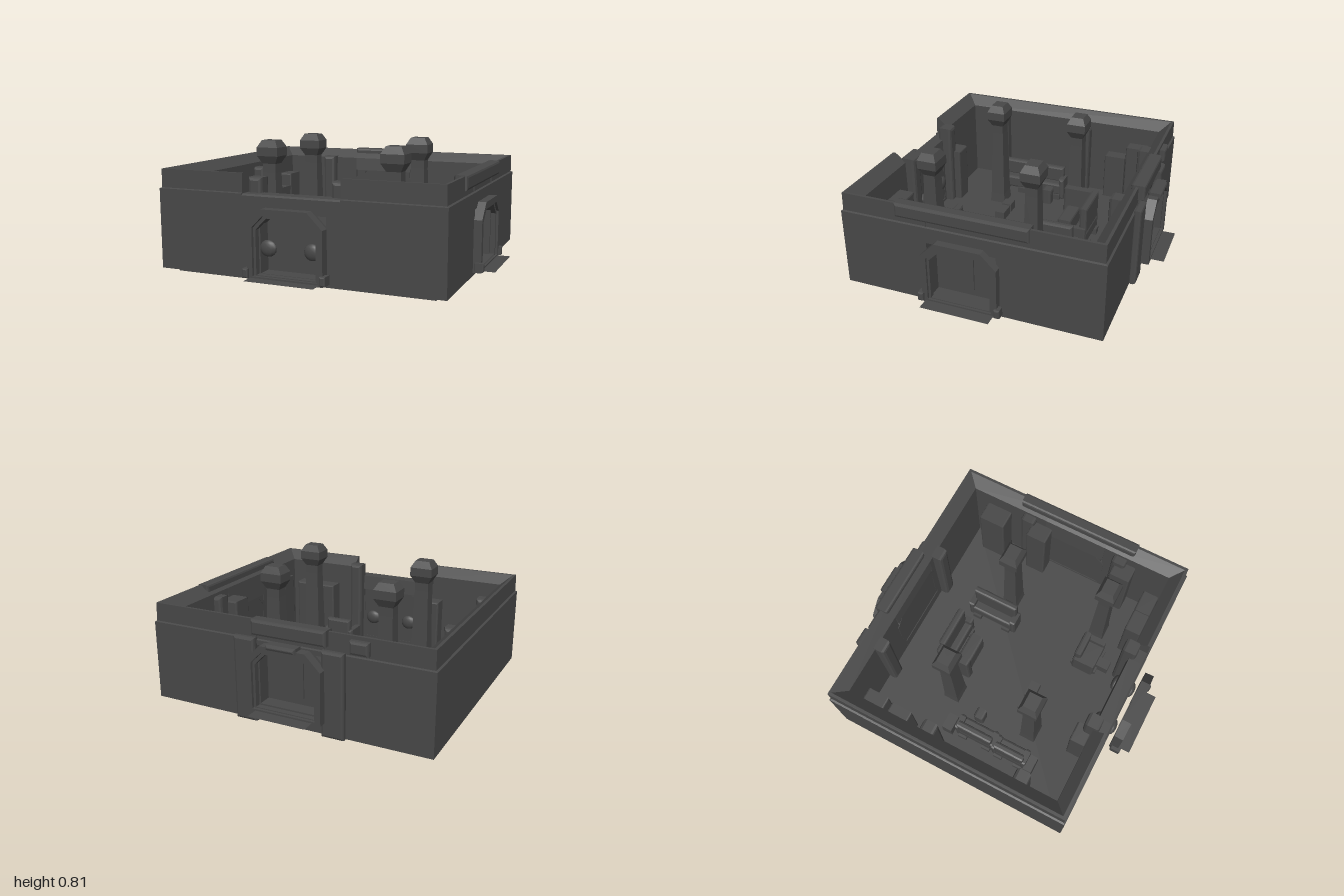
import * as THREE from 'three';

const stone = new THREE.MeshStandardMaterial({ color: 0x484848, side: THREE.DoubleSide });
stone.name = 'charcoal';

function add(parent, geo, name, x = 0, y = 0, z = 0) {
  const m = new THREE.Mesh(geo, stone);
  m.name = name;
  m.position.set(x, y, z);
  parent.add(m);
  return m;
}

// box given by its limits
function block(parent, name, x0, x1, y0, y1, z0, z1) {
  return add(parent, new THREE.BoxGeometry(x1 - x0, y1 - y0, z1 - z0), name, (x0 + x1) / 2, (y0 + y1) / 2, (z0 + z1) / 2);
}

// box with rounded edges, upholstery look
function soft(parent, name, x0, x1, y0, y1, z0, z1, c = 0.015) {
  const w = (x1 - x0) / 2 - c, h = (y1 - y0) / 2 - c, d = z1 - z0 - 2 * c;
  const s = new THREE.Shape([[-w, -h], [w, -h], [w, h], [-w, h]].map(p => new THREE.Vector2(...p)));
  const g = new THREE.ExtrudeGeometry(s, { depth: d, bevelEnabled: true, bevelSize: c, bevelThickness: c, bevelSegments: 2 });
  g.translate(0, 0, -d / 2);
  return add(parent, g, name, (x0 + x1) / 2, (y0 + y1) / 2, (z0 + z1) / 2);
}

// stacked square sections: rows of [half width, height]
function squareLoft(rows) {
  const g = new THREE.LatheGeometry(rows.map(([r, y]) => new THREE.Vector2(r * Math.SQRT2, y)), 4, Math.PI / 4).toNonIndexed();
  g.computeVertexNormals();
  return g;
}

// one straight run of wall; profile is [inset, height], ends may be mitred
function wallGeo(D, t0, t1, m0, m1, profile) {
  const pos = [], n = profile.length;
  const P = (i, end) => {
    const [d, y] = profile[i % n];
    return end ? [t1 - m1 * d, y, D - d] : [t0 + m0 * d, y, D - d];
  };
  for (let i = 0; i < n; i++) {
    pos.push(...P(i, 0), ...P(i, 1), ...P(i + 1, 1), ...P(i, 0), ...P(i + 1, 1), ...P(i + 1, 0));
    if (i > 0 && i < n - 1) {
      pos.push(...P(0, 0), ...P(i, 0), ...P(i + 1, 0), ...P(0, 1), ...P(i + 1, 1), ...P(i, 1));
    }
  }
  const g = new THREE.BufferGeometry();
  g.setAttribute('position', new THREE.Float32BufferAttribute(pos, 3));
  g.computeVertexNormals();
  return g;
}

const profile = (bottom, notched) => notched
  ? [[0, bottom], [0, 0.52], [0.012, 0.53], [0.1, 0.53], [0.11, bottom]]
  : [[0, bottom], [0, 0.53], [0.012, 0.535], [0.012, 0.65], [0.03, 0.65], [0.1, 0.59], [0.11, bottom]];

// chamfered arch outline
function archPoints(w, y0, y1, c) {
  return [[-w, y0], [w, y0], [w, y1 - c], [w - c, y1], [-w + c, y1], [-w, y1 - c]].map(p => new THREE.Vector2(...p));
}

function archFrame(w, h, y0, y1, t, depth) {
  const s = new THREE.Shape(archPoints(w, y0, y1, 0.095));
  s.holes.push(new THREE.Path(archPoints(h, y0 + 0.02, y1 - t, 0.07)));
  return new THREE.ExtrudeGeometry(s, { depth, bevelEnabled: false });
}

// doorway: lining, back panel, proud frame, feet and sill
function doorway(parent, D, cx, { lift = 0, gap = 0, depth, reach, sillHalf, strip = false, feet = true }) {
  const door = new THREE.Group();
  door.name = 'doorway';
  door.position.set(cx, lift, D);
  parent.add(door);
  add(door, archFrame(0.235, 0.205, 0.04, 0.455, 0.03, 0.104), 'doorLining', 0, 0, -0.107);
  block(door, 'doorPanel', -0.21, 0.21, 0.04, 0.44, -0.105, -0.09);
  if (strip) block(door, 'doorStrip', -0.045, 0.04, 0.11, 0.36, -0.09, -0.08);
  add(door, archFrame(0.24, 0.205, 0.05, 0.465, 0.04, depth), 'doorFrame', 0, 0, gap);
  add(door, archFrame(0.22, 0.19, 0.055, 0.44, 0.03, depth * 0.6), 'innerFrame', 0, 0, gap + 0.005);
  if (feet) {
    for (const s of [-1, 1]) {
      soft(door, 'frameFoot', s * 0.245 - 0.018, s * 0.245 + 0.018, 0.06, 0.115, gap + 0.01, gap + depth + 0.02, 0.008);
    }
  }
  const sill = new THREE.PlaneGeometry(sillHalf * 2, reach - gap).rotateX(-Math.PI / 2);
  add(door, sill, 'sill', 0, 0.06, (gap + reach) / 2);
}

export function createModel() {
  const model = new THREE.Group();
  model.name = 'room';

  // floor and foundation
  block(model, 'foundation', -0.91, 0.77, 0, 0.032, -0.75, 0.75);
  block(model, 'floor', -0.96, 0.83, 0.03, 0.05, -0.8, 0.8);

  // walls: local x runs along the wall, local z points outward
  const X = 0.915, Z = 0.825;
  const walls = {};
  const specs = [['frontWall', 0, X, Z, -0.01, 0], ['rightSideWall', Math.PI / 2, Z, X, -0.04, 0],
    ['backWall', Math.PI, X, Z, 0.04, 0.07], ['leftSideWall', -Math.PI / 2, Z, X, null, 0]];
  for (const [name, turn, L, D, door, lift] of specs) {
    const w = walls[name] = new THREE.Group();
    w.name = name;
    w.rotation.y = turn;
    w.position.x = -0.065;
    model.add(w);
    if (door === null) {
      add(w, wallGeo(D, -L, L, 1, 1, profile(0.03)), 'wall');
      continue;
    }
    const notch = name === 'frontWall';
    const a = door - 0.22, b = door + 0.22, na = notch ? -0.335 : a, nb = notch ? 0.295 : b;
    add(w, wallGeo(D, -L, na, 1, 0, profile(0.03)), 'wall');
    add(w, wallGeo(D, nb, L, 0, 1, profile(0.03)), 'wall');
    if (notch) {
      add(w, wallGeo(D, na, a, 0, 0, profile(0.03, true)), 'lowWall');
      add(w, wallGeo(D, b, nb, 0, 0, profile(0.03, true)), 'lowWall');
    }
    add(w, wallGeo(D, a, b, 0, 0, profile(0.43 + lift, notch)), 'wallOverDoor');
    block(w, 'wallUnderDoor', a, b, 0.03, 0.065 + lift, D - 0.11, D);
  }
  doorway(walls.frontWall, Z, -0.01, { gap: 0.035, depth: 0.06, reach: 0.175, sillHalf: 0.22 });
  doorway(walls.rightSideWall, X, -0.04, { depth: 0.05, reach: 0.13, sillHalf: 0.22, strip: true });
  doorway(walls.backWall, Z, 0.04, { lift: 0.07, gap: 0.03, depth: 0.06, reach: 0.175, sillHalf: 0.185, strip: true, feet: false });

  // lintels along the wall tops
  soft(walls.rightSideWall, 'lintel', -0.46, 0.38, 0.565, 0.655, X - 0.08, X + 0.003);
  soft(walls.backWall, 'lintel', -0.2, 0.28, 0.565, 0.66, Z - 0.06, Z + 0.03);
  soft(walls.backWall, 'lintelEnd', 0.42, 0.535, 0.55, 0.63, Z - 0.04, Z + 0.025);
  soft(walls.backWall, 'doorCap', -0.06, 0.13, 0.52, 0.555, Z + 0.02, Z + 0.105);

  // flanking panels beside the back door
  for (const s of [-1, 1]) {
    const c = 0.04 + s * 0.285;
    soft(walls.backWall, 'doorSidePanel', c - 0.07, c + 0.07, 0.03, 0.55, Z - 0.01, Z + 0.04);
  }
  // round knobs on both faces of the front door
  for (const x of [-0.225, 0.06]) {
    for (const z of [0.71, 0.825]) {
      add(model, new THREE.SphereGeometry(0.05, 12, 8).scale(1.1, 1, 0.5), 'doorKnob', x, 0.22, z);
    }
  }

  // free-standing pillars with faceted heads
  for (const [x, z] of [[-0.46, -0.25], [0.345, -0.22], [0.413, 0.43], [-0.465, 0.34]]) {
    const p = new THREE.Group();
    p.name = 'pillar';
    p.position.set(x, 0, z);
    p.scale.z = 0.86;
    model.add(p);
    add(p, squareLoft([[0.065, 0.04], [0.058, 0.12], [0.046, 0.6], [0.046, 0.66]]), 'pillarShaft');
    add(p, squareLoft([[0, 0.65], [0.046, 0.655], [0.074, 0.705], [0.074, 0.76], [0.048, 0.805], [0, 0.805]]), 'pillarHead');
  }

  // pilasters against the walls: [x, z, height]
  for (const [x, z, h] of [[-0.85, -0.18, 0.56], [-0.85, 0.47, 0.56], [-0.53, -0.71, 0.6], [0.2, -0.71, 0.6],
    [-0.35, 0.71, 0.62], [0.19, 0.71, 0.62], [0.74, -0.3, 0.57], [0.74, 0.38, 0.57]]) {
    soft(model, 'pilaster', x - 0.045, x + 0.045, 0.04, h, z - 0.05, z + 0.05, 0.02);
  }

  // cabinets: [x0, x1, z0, z1, height]
  for (const [x0, x1, z0, z1, h] of [[-0.88, -0.785, -0.665, -0.515, 0.47], [-0.88, -0.785, -0.51, -0.36, 0.38],
    [0.61, 0.74, -0.625, -0.44, 0.5], [0.625, 0.74, -0.27, -0.125, 0.53], [0.625, 0.74, 0.355, 0.5, 0.53],
    [0.35, 0.5, 0.61, 0.72, 0.45], [0.505, 0.655, 0.61, 0.72, 0.45], [-0.48, -0.35, 0.615, 0.72, 0.43]]) {
    soft(model, 'cabinet', x0, x1, 0.04, h, z0, z1, 0.01);
  }

  // sofas: local x along the seat, backrest toward local -z: [x, z, turn, length, depth, height]
  for (const [x, z, turn, len, deep, top] of [[-0.14, -0.41, 0, 0.28, 0.1, 0.35], [0.16, -0.27, -Math.PI / 2, 0.32, 0.11, 0.33],
    [-0.66, 0.04, Math.PI / 2, 0.25, 0.11, 0.28], [-0.67, 0.3, Math.PI / 2, 0.21, 0.11, 0.28], [0.19, 0.455, 0, 0.18, 0.16, 0.28]]) {
    const s = new THREE.Group();
    s.name = 'sofa';
    s.position.set(x, 0, z);
    s.rotation.y = turn;
    model.add(s);
    const h = len / 2, d = deep / 2;
    soft(s, 'seat', -h, h, 0.08, 0.17, -d, d);
    soft(s, 'backrest', -h, h, 0.16, top, -d, -d + 0.05);
    for (const e of [-1, 1]) {
      soft(s, 'armrest', e * h - 0.02, e * h + 0.02, 0.05, 0.21, -d, d);
      block(s, 'leg', e * h * 0.7 - 0.03, e * h * 0.7 + 0.03, 0.04, 0.09, -d - 0.015, d + 0.015);
    }
  }

  // side seats, low tables and crates
  soft(model, 'bench', -0.32, -0.07, 0.04, 0.2, -0.33, -0.235);
  soft(model, 'benchArm', -0.335, -0.28, 0.04, 0.33, -0.45, -0.21);
  block(model, 'footstool', 0.14, 0.21, 0.04, 0.13, 0.5, 0.62);
  block(model, 'lowTable', -0.37, -0.29, 0.04, 0.11, 0.19, 0.26);
  block(model, 'lowTable', -0.275, -0.16, 0.04, 0.11, 0.19, 0.26);
  block(model, 'crate', -0.74, -0.63, 0.04, 0.16, -0.19, -0.12);
  block(model, 'crate', -0.74, -0.63, 0.04, 0.16, 0.42, 0.48);
  soft(model, 'stool', -0.58, -0.505, 0.04, 0.16, -0.04, 0.03);

  return model;
}
